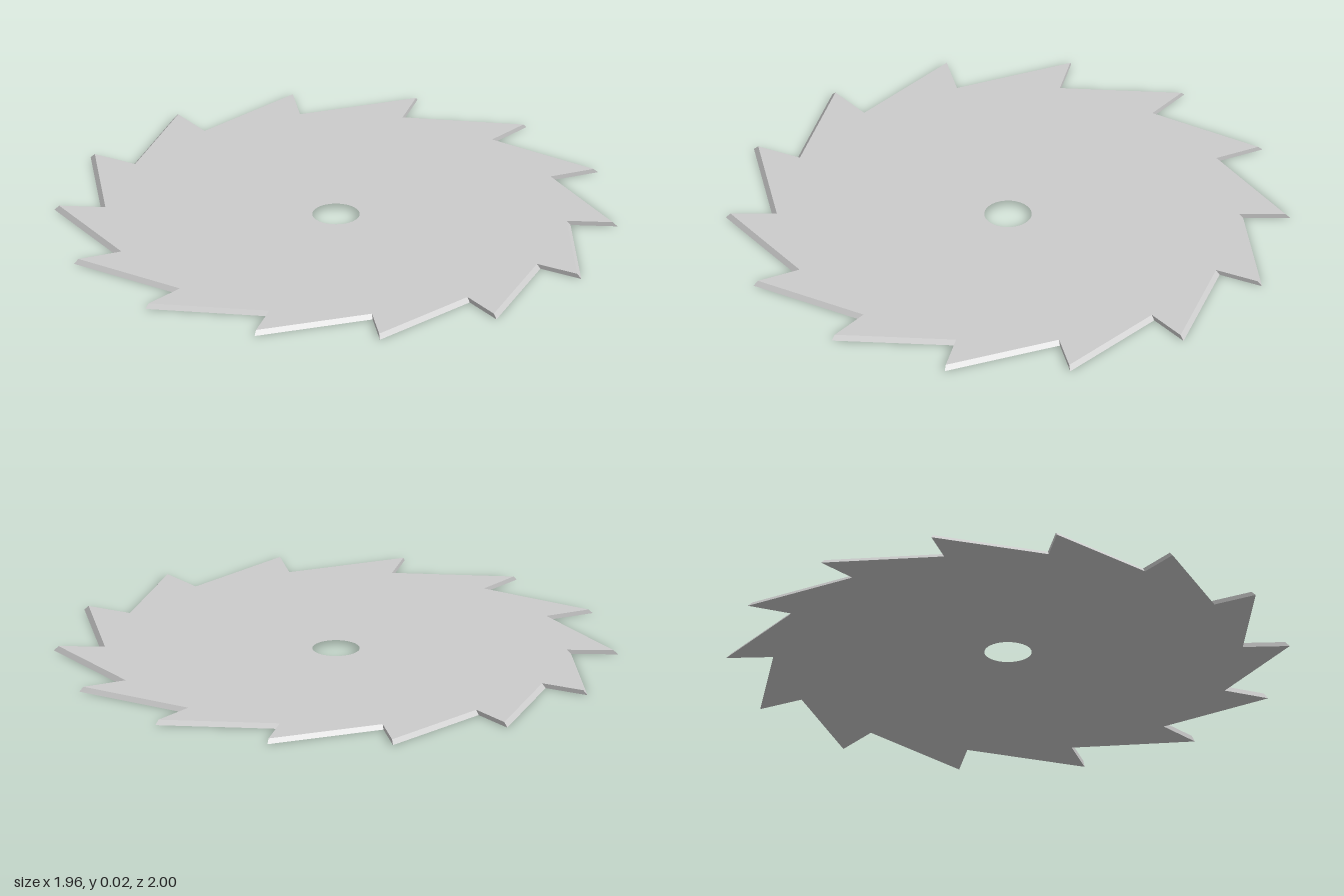
import * as THREE from 'three';
import { toCreasedNormals } from 'three/addons/utils/BufferGeometryUtils.js';

const TEETH = 14;
const TIP = 1.0;          // tooth tip radius
const ROOT = 0.833;       // gullet radius
const BORE = 0.084;       // centre hole radius
const THICK = 0.016;
const START = THREE.MathUtils.degToRad(-91.3);

// Ratchet outline: radial tooth faces joined by long sloping backs
function bladeShape() {
  const points = [];
  for (let i = 0; i < TEETH; i++) {
    const a = START + (i * 2 * Math.PI) / TEETH;
    for (const r of [TIP, ROOT]) {
      points.push(new THREE.Vector2(r * Math.cos(a), -r * Math.sin(a)));
    }
  }
  const shape = new THREE.Shape(points);
  shape.holes.push(new THREE.Path().absarc(0, 0, BORE, 0, Math.PI * 2, true));
  return shape;
}

export function createModel() {
  const geometry = new THREE.ExtrudeGeometry(bladeShape(), {
    depth: THICK, bevelEnabled: false, curveSegments: 20,
  });
  geometry.rotateX(-Math.PI / 2);

  // Bevel the tooth backs: slide upper rim corners inward along the radial faces
  const p = geometry.attributes.position;
  for (let i = 0; i < p.count; i++) {
    const x = p.getX(i), z = p.getZ(i), r = Math.hypot(x, z);
    if (p.getY(i) < THICK / 2 || r < 0.5) continue;
    const s = 1 - (r > 0.9 ? 0.017 : 0.014) / r;
    p.setX(i, x * s);
    p.setZ(i, z * s);
  }

  const blade = new THREE.Mesh(
    toCreasedNormals(geometry, Math.PI / 6),
    new THREE.MeshStandardMaterial({ color: 0xcccccc }),
  );
  blade.name = 'sawBlade';

  const group = new THREE.Group();
  group.name = 'circularSawBlade';
  group.add(blade);
  return group;
}
